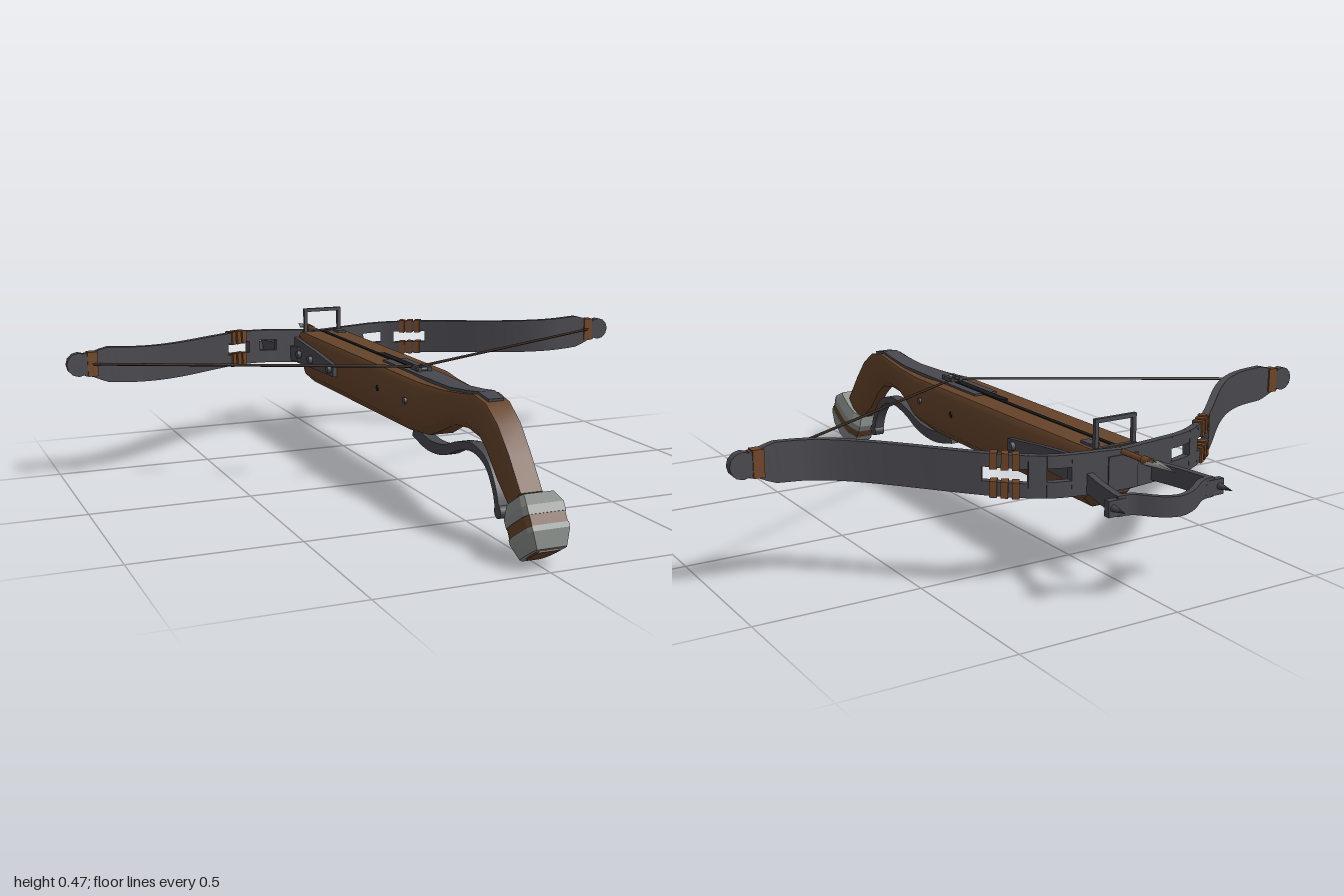
import * as THREE from 'three';
import { toCreasedNormals } from 'three/addons/utils/BufferGeometryUtils.js';

const mat = (name, color) => Object.assign(new THREE.MeshStandardMaterial({ color }), { name });
const V = (x, y, z) => new THREE.Vector3(x, y, z);
const X = V(1, 0, 0), Y = V(0, 1, 0);

// Skin a list of closed cross-sections (counter-clockwise about the travel direction)
function loft(sections, crease = 0.6) {
  const n = sections[0].length, last = sections.length - 1, index = [];
  for (let i = 0; i < last; i++) for (let j = 0; j < n; j++) {
    const a = i * n + j, b = i * n + (j + 1) % n;
    index.push(a, b, b + n, a, b + n, a + n);
  }
  for (let j = 1; j < n - 1; j++) {
    index.push(0, j + 1, j, last * n, last * n + j, last * n + j + 1);
  }
  const geo = new THREE.BufferGeometry().setFromPoints(sections.flat());
  geo.setIndex(index);
  return toCreasedNormals(geo, crease);
}

// Sweep a flat bar along points; axis is the fixed direction of its half-width b, n its half-thickness
function sweep(pts, axis, b, n) {
  const at = (v, i) => (Array.isArray(v) ? v[i] : v);
  return loft(pts.map((p, i) => {
    const t = pts[Math.min(i + 1, pts.length - 1)].clone().sub(pts[Math.max(i - 1, 0)]);
    t.addScaledVector(axis, -t.dot(axis)).normalize();
    const side = t.cross(axis);
    return [[-1, -1], [1, -1], [1, 1], [-1, 1]].map(([u, v]) =>
      p.clone().addScaledVector(axis, u * at(b, i)).addScaledVector(side, v * at(n, i)));
  }));
}
const smooth = (pts, count) => new THREE.CatmullRomCurve3(pts).getPoints(count);

// Bow limb rules: sweep back in z, lower and upper edges
const limbZ = x => -0.735 + 0.385 * THREE.MathUtils.smoothstep(x, 0.18, 0.8);
const limbY = (x, f) => {
  const pinch = THREE.MathUtils.smoothstep(x, 0.85, 0.92) * 0.02;
  return THREE.MathUtils.lerp(0.28 + 0.07 * x + pinch, 0.4 + 0.062 * x - pinch, f);
};

export function createModel() {
  const root = new THREE.Group();
  root.name = 'crossbow';
  const wood = mat('wood', 0x65432a), iron = mat('dark iron', 0x47474d);
  const steel = mat('light steel', 0x878c88), black = mat('black slot', 0x18181a);
  const leather = mat('leather wrap', 0x6f4426), cord = mat('cord', 0x33241b);
  const add = (name, geo, material, x = 0, y = 0, z = 0, rx = 0, ry = 0, rz = 0) => {
    const m = new THREE.Mesh(geo, material);
    m.name = name;
    m.position.set(x, y, z);
    m.rotation.set(rx, ry, rz);
    root.add(m);
    return m;
  };
  const box = (w, h, d) => new THREE.BoxGeometry(w, h, d);
  const cyl = (r0, r1, h, n = 10) => new THREE.CylinderGeometry(r0, r1, h, n);
  const rod = (name, a, b, r, material) => {
    const m = add(name, cyl(r, r, a.distanceTo(b), 6), material);
    m.position.copy(a).lerp(b, 0.5);
    m.quaternion.setFromUnitVectors(Y, b.clone().sub(a).normalize());
  };

  // Stock: top z, top y, bottom z, bottom y, half-width
  const ring = [[0.5, 1], [0.88, 0.82], [1, 0.55], [1, 0.1], [0.88, 0],
    [-0.88, 0], [-1, 0.1], [-1, 0.55], [-0.88, 0.82], [-0.5, 1]];
  const section = ([tz, ty, bz, by, w]) => ring.map(([u, v]) =>
    V(u * w, THREE.MathUtils.lerp(ty, by, v), THREE.MathUtils.lerp(tz, bz, v)));
  add('stock', loft([
    [-0.72, 0.4, -0.72, 0.265, 0.082], [-0.7, 0.4, -0.67, 0.22, 0.088],
    [0.2, 0.4, 0.2, 0.226, 0.088], [0.3, 0.395, 0.33, 0.236, 0.076],
    [0.45, 0.395, 0.4, 0.265, 0.055], [0.55, 0.405, 0.47, 0.297, 0.047],
    [0.62, 0.415, 0.56, 0.305, 0.045], [0.69, 0.402, 0.635, 0.292, 0.042],
    [0.757, 0.358, 0.685, 0.252, 0.04], [0.82, 0.29, 0.74, 0.19, 0.038],
    [0.89, 0.2, 0.82, 0.13, 0.037]].map(section)), wood);

  // Banded pommel: distance along grip axis, half-depth, half-width
  const pommel = ([s, h, w]) => {
    const z = 0.87 + 0.52 * s, y = 0.175 - 0.855 * s;
    return section([z + 0.855 * h, y + 0.52 * h, z - 0.855 * h, y - 0.52 * h, w]);
  };
  const band = (name, rings, m) => add(name, loft(rings.map(pommel), 0.3), m);
  band('pommelCollar', [[0, 0.067, 0.05], [0.035, 0.088, 0.062], [0.06, 0.088, 0.062]], steel);
  band('pommelBand', [[0.06, 0.086, 0.06], [0.09, 0.086, 0.06]], wood);
  band('pommelEnd', [[0.09, 0.088, 0.062], [0.105, 0.088, 0.062], [0.15, 0.066, 0.05]], steel);
  band('pommelPlate', [[0.148, 0.045, 0.035], [0.154, 0.045, 0.035]], wood);

  // Top plate, bolt groove, slot and string nut
  add('topPlate', sweep([V(0, 0.4, -0.03), V(0, 0.4, 0.25), V(0, 0.398, 0.45), V(0, 0.407, 0.55),
    V(0, 0.416, 0.62), V(0, 0.406, 0.68)], X, [0.04, 0.04, 0.032, 0.028, 0.026, 0.024], 0.006), iron);
  add('boltGroove', box(0.014, 0.006, 0.57), black, 0, 0.4, -0.42);
  add('nutSlot', box(0.026, 0.006, 0.28), black, 0, 0.406, 0);
  for (const s of [-1, 1]) add('stringNut', box(0.012, 0.026, 0.06), iron, s * 0.016, 0.406, 0.18);
  add('nutPin', cyl(0.006, 0.006, 0.05), iron, 0, 0.412, 0.2, 0, 0, Math.PI / 2);
  add('topCatch', box(0.03, 0.012, 0.05), iron, 0.05, 0.402, -0.66);
  for (const [z, m] of [[0.04, black], [0.25, iron]])
    add('crossPin', cyl(0.01, 0.01, 0.18), m, 0, 0.33, z, 0, 0, Math.PI / 2);

  // Long curved trigger lever
  const lever = smooth([V(0, 0.215, 0.16), V(0, 0.192, 0.27), V(0, 0.2, 0.38), V(0, 0.235, 0.48),
    V(0, 0.25, 0.58), V(0, 0.225, 0.66), V(0, 0.165, 0.71), V(0, 0.1, 0.733)], 28);
  add('triggerLever', sweep(lever, X, 0.018,
    lever.map((p, i) => 0.021 - 0.009 * Math.min(1, i / 14))), iron);
  add('leverTip', cyl(0.02, 0.02, 0.036, 12), iron, 0, 0.105, 0.732, 0, 0, Math.PI / 2);

  // Bow: solid spans and split rails as x0, x1, lower and upper fraction
  const spans = [[0, 0.17, 0, 1], [0.17, 0.24, 0, 0.38], [0.17, 0.24, 0.7, 1], [0.24, 0.285, 0, 1],
    [0.285, 0.385, 0, 0.34], [0.285, 0.385, 0.68, 1], [0.385, 0.93, 0, 1]];
  for (const s of [-1, 1]) {
    for (const [x0, x1, f0, f1] of spans) {
      const steps = Math.ceil((x1 - x0) / 0.025), pts = [], half = [];
      for (let i = 0; i <= steps; i++) {
        const x = THREE.MathUtils.lerp(x0, x1, i / steps);
        pts.push(V(s * x, limbY(x, (f0 + f1) / 2), limbZ(x)));
        half.push((limbY(x, f1) - limbY(x, f0)) / 2);
      }
      add('bowLimb', sweep(pts, Y, half, 0.011), iron);
    }
    // Leather wraps on the rails and at the tips
    for (const x of [0.313, 0.337, 0.361]) for (const f of [0.17, 0.84]) {
      const turn = -s * Math.atan2(limbZ(x + 0.01) - limbZ(x - 0.01), 0.02);
      add('railWrap', box(0.02, 0.046, 0.033), leather, s * x, limbY(x, f), limbZ(x), 0, turn, 0);
    }
    add('tipWrap', box(0.032, 0.078, 0.032), leather, s * 0.905, 0.402, -0.35);
    add('bowTip', cyl(0.038, 0.038, 0.026, 12), iron, s * 0.948, 0.402, -0.35, Math.PI / 2);
    rod('bowString', V(s * 0.905, 0.402, -0.338), V(0, 0.414, 0.165), 0.0045, cord);

    // Side plates with bolts
    add('sidePlate', sweep([V(s * 0.094, 0.335, -0.72), V(s * 0.094, 0.33, -0.5),
      V(s * 0.094, 0.322, -0.32)], Y, [0.045, 0.032, 0.02], 0.008), iron);
    for (const z of [-0.66, -0.54, -0.35])
      add('plateBolt', cyl(0.014, 0.014, 0.03, 8), iron, s * 0.1, 0.325, z, 0, 0, Math.PI / 2);

    // Stirrup arm, ear and spike
    add('stirrupArm', sweep(smooth([V(s * 0.1, 0.325, -0.66), V(s * 0.107, 0.322, -0.73),
      V(s * 0.132, 0.32, -0.83), V(s * 0.152, 0.318, -0.935)], 10), Y, 0.027, 0.01), iron);
    add('stirrupEar', box(0.06, 0.045, 0.02), iron, s * 0.162, 0.316, -0.932);
    add('stirrupSpike', cyl(0, 0.014, 0.075, 8), iron, s * 0.178, 0.318, -0.958, -Math.PI / 2);

    // Upright of the front sight frame
    add('sightPost', box(0.012, 0.1, 0.012), iron, s * 0.064, 0.433, -0.705);
  }
  add('sightBar', box(0.14, 0.012, 0.012), iron, 0, 0.479, -0.705);
  add('sightBase', box(0.14, 0.012, 0.014), iron, 0, 0.397, -0.708);
  add('bowClamp', box(0.1, 0.1, 0.03), iron, 0, 0.335, -0.735);

  // Arched stirrup crossbar
  add('stirrupBar', sweep(smooth([V(-0.16, 0.318, -0.93), V(-0.115, 0.318, -0.938), V(-0.055, 0.312, -0.975),
    V(0, 0.309, -0.99), V(0.055, 0.312, -0.975), V(0.115, 0.318, -0.938), V(0.16, 0.318, -0.93)], 24),
  Y, 0.028, 0.008), iron);

  // Loaded bolt with a flat head
  rod('boltShaft', V(0, 0.392, -0.1), V(0, 0.392, -0.88), 0.009, leather);
  add('boltCollar', cyl(0.013, 0.013, 0.03, 8), leather, 0, 0.392, -0.85, Math.PI / 2);
  const head = cyl(0, 0.03, 0.11, 4);
  head.scale(1, 1, 0.2);
  add('boltHead', head, steel, 0, 0.392, -0.918, -Math.PI / 2);
  return root;
}
